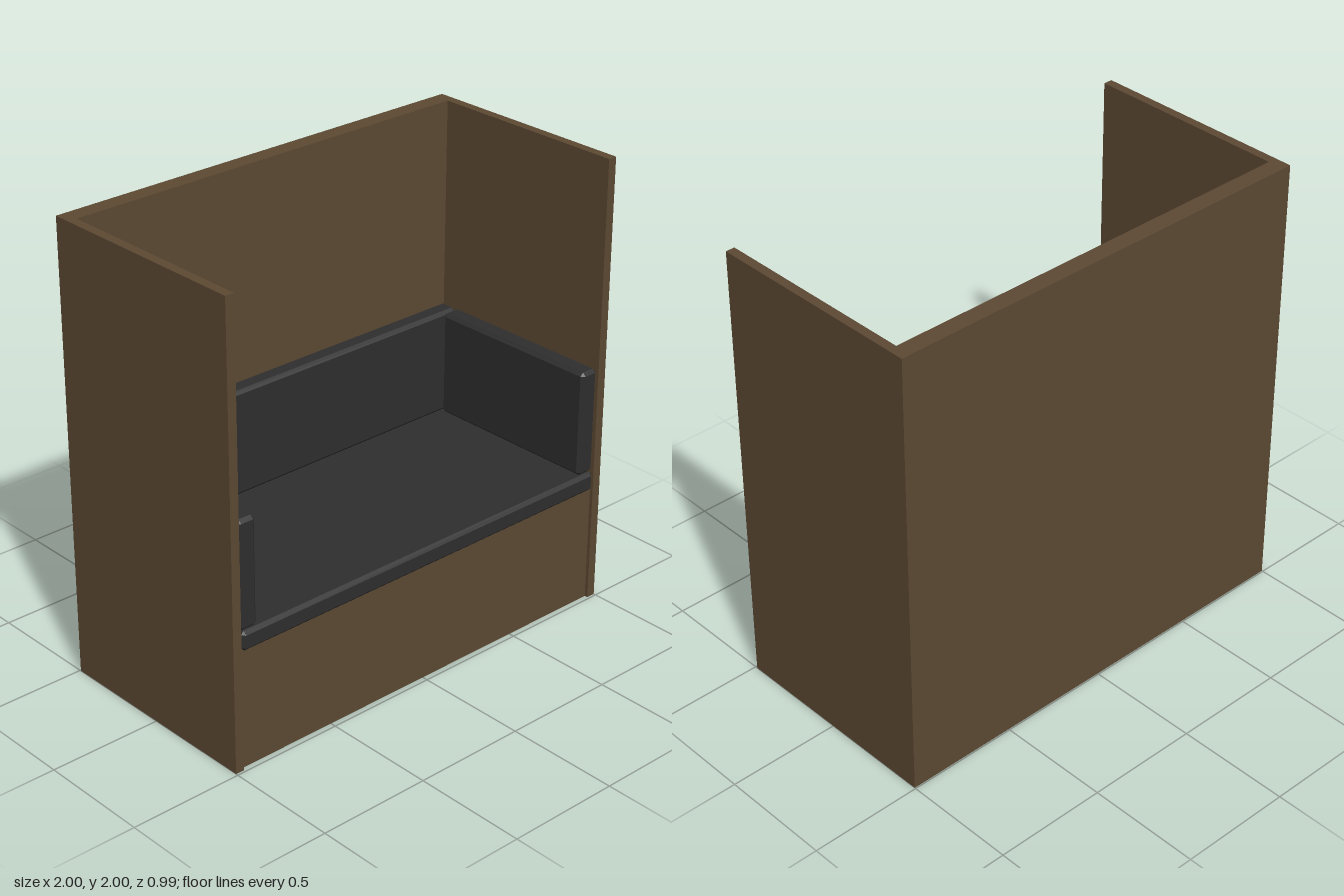
import * as THREE from 'three';
import { ConvexGeometry } from 'three/addons/geometries/ConvexGeometry.js';

const wood = new THREE.MeshStandardMaterial({ color: 0x5c4933 });
const fabric = new THREE.MeshStandardMaterial({ color: 0x2e2e2e, flatShading: true });

// Box between two corners
function panel(name, [x0, y0, z0], [x1, y1, z1]) {
  const mesh = new THREE.Mesh(new THREE.BoxGeometry(x1 - x0, y1 - y0, z1 - z0), wood);
  mesh.position.set((x0 + x1) / 2, (y0 + y1) / 2, (z0 + z1) / 2);
  mesh.name = name;
  return mesh;
}

// Box between two corners with all edges chamfered
function cushion(name, [x0, y0, z0], [x1, y1, z1], c = 0.015) {
  const half = new THREE.Vector3(x1 - x0, y1 - y0, z1 - z0).multiplyScalar(0.5);
  const points = [];
  for (const sx of [-1, 1]) for (const sy of [-1, 1]) for (const sz of [-1, 1]) {
    for (const face of ['x', 'y', 'z']) {
      const p = half.clone().subScalar(c);
      p[face] = half[face];
      points.push(p.multiply(new THREE.Vector3(sx, sy, sz)));
    }
  }
  const mesh = new THREE.Mesh(new ConvexGeometry(points), fabric);
  mesh.position.set((x0 + x1) / 2, (y0 + y1) / 2, (z0 + z1) / 2);
  mesh.name = name;
  return mesh;
}

export function createModel() {
  const booth = new THREE.Group();
  booth.name = 'highBackedBooth';

  // Wooden shell: back, two sides and a plinth set slightly back
  booth.add(
    panel('backPanel', [-0.96, 0, -0.495], [0.96, 2, -0.42]),
    panel('rightPanel', [-1, 0, -0.495], [-0.96, 2, 0.49]),
    panel('leftPanel', [0.96, 0, -0.495], [1, 2, 0.49]),
    panel('seatBase', [-0.96, 0, -0.42], [0.96, 0.525, 0.475]),
  );

  // Upholstery
  booth.add(
    cushion('seatCushion', [-0.955, 0.525, -0.42], [0.955, 0.612, 0.495]),
    cushion('backCushion', [-0.955, 0.612, -0.42], [0.955, 1.085, -0.335]),
    cushion('rightArmCushion', [-0.96, 0.612, -0.335], [-0.873, 1.085, 0.485]),
    cushion('leftArmCushion', [0.873, 0.612, -0.335], [0.96, 1.085, 0.485]),
  );
  return booth;
}
